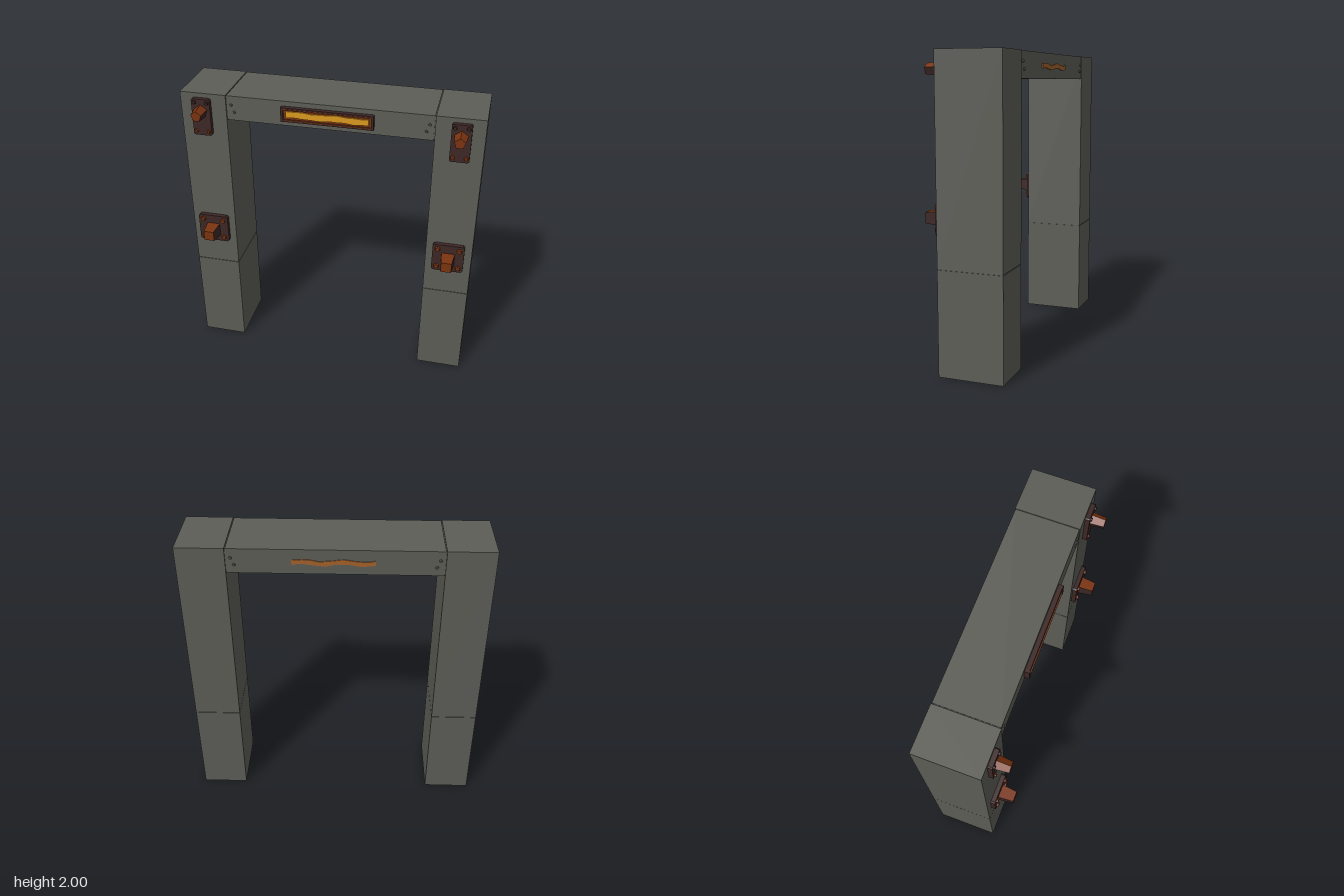
import * as THREE from 'three';

const mat = (name, color) => {
  const m = new THREE.MeshStandardMaterial({ color });
  m.name = name;
  return m;
};

export function createModel() {
  const root = new THREE.Group();
  root.name = 'gateway';
  const stone = mat('grey stone', 0x5c5d56);
  const iron = mat('dark iron', 0x3c2725);
  const rust = mat('rust', 0x7a330f);
  const yellow = mat('lamp yellow', 0xd9981e);
  const orange = mat('worn orange', 0xa0602a);

  const add = (parent, name, geo, material, x, y, z) => {
    const mesh = new THREE.Mesh(geo, material);
    mesh.name = name;
    mesh.position.set(x, y, z);
    parent.add(mesh);
    return mesh;
  };
  const box = (parent, name, w, h, d, material, x, y, z) =>
    add(parent, name, new THREE.BoxGeometry(w, h, d), material, x, y, z);

  // Faceted stud along +z, standing on z = 0
  const stud = (rBase, rTip, length, sides, start) => {
    const g = new THREE.CylinderGeometry(rTip, rBase, length, sides, 1, false, start);
    g.rotateX(Math.PI / 2).translate(0, 0, length / 2);
    const flat = g.toNonIndexed();
    flat.computeVertexNormals();
    return flat;
  };

  // Peg with dark flanks; the tip and the chosen upper faces are rust
  const peg = (rBase, rTip, length, sides, start, upper) => {
    const g = stud(rBase, rTip, length, sides, start);
    g.clearGroups();
    for (let i = 0; i < sides; i++) g.addGroup(i * 6, 6, upper.includes(i) ? 1 : 0);
    g.addGroup(sides * 6, sides * 6, 1);
    return g;
  };

  // Plate with chamfered corners
  const plate = (w, h, d, c) => {
    const x = w / 2, y = h / 2;
    const s = new THREE.Shape([
      [-x + c, -y], [x - c, -y], [x, -y + c], [x, y - c],
      [x - c, y], [-x + c, y], [-x, y - c], [-x, -y + c],
    ].map(([a, b]) => new THREE.Vector2(a, b)));
    return new THREE.ExtrudeGeometry(s, { depth: d, bevelEnabled: false });
  };

  // Wavy painted strip
  const strip = (length, height, wave, depth) => {
    const n = 16, top = [], bottom = [];
    for (let i = 0; i <= n; i++) {
      const x = (i / n - 0.5) * length;
      const mid = wave * Math.sin(i * 0.8);
      const half = (height / 2) * (0.92 + 0.08 * Math.cos(i * 1.9));
      bottom.push(new THREE.Vector2(x, mid - half));
      top.unshift(new THREE.Vector2(x, mid + half));
    }
    return new THREE.ExtrudeGeometry(new THREE.Shape([...bottom, ...top]), { depth, bevelEnabled: false });
  };

  const front = 0.15;
  for (const side of [-1, 1]) {
    const label = side > 0 ? 'left' : 'right';
    const post = new THREE.Group();
    post.name = label + 'Post';
    root.add(post);

    // Two stacked blocks with a fine seam between them
    const px = side * 0.837;
    box(post, 'lowerBlock', 0.312, 0.681, 0.43, stone, px, 0.3405, -0.065);
    box(post, 'seam', 0.304, 0.01, 0.422, stone, px, 0.683, -0.065);
    box(post, 'upperBlock', 0.312, 1.315, 0.43, stone, px, 1.3425, -0.065);

    // Upper bracket with five-sided peg
    const upper = new THREE.Group();
    upper.name = 'upperBracket';
    upper.position.set(side * 0.846, 1.842, front);
    post.add(upper);
    add(upper, 'upperPlate', plate(0.126, 0.255, 0.03, 0.008), iron, 0, 0, 0);
    add(upper, 'upperPeg', peg(0.046, 0.037, 0.09, 5, Math.PI, [0, 4]), [iron, rust], 0, 0.043, 0.03);
    for (const x of [-0.042, 0.042]) for (const y of [-0.098, 0.104])
      add(upper, 'rivet', stud(0.015, 0.011, 0.012, 6, 0), y < 0 ? rust : iron, x, y, 0.03);

    // Lower bracket with square peg
    const lower = new THREE.Group();
    lower.name = 'lowerBracket';
    lower.position.set(side * 0.836, 0.98, front);
    post.add(lower);
    add(lower, 'lowerPlate', plate(0.214, 0.206, 0.03, 0.012), iron, 0, 0, 0);
    add(lower, 'lowerPeg', peg(0.064, 0.05, 0.103, 4, Math.PI / 4, [1]), [iron, rust], 0, -0.005, 0.03);
    for (const x of [-0.073, 0.073]) for (const y of [-0.068, 0.07])
      add(lower, 'rivet', stud(0.019, 0.015, 0.014, 6, 0), rust, x, y, 0.03);

    // Small stone bolts at the beam ends, front and back
    for (const [x, y] of [[0.647, 1.935], [0.627, 1.887]]) {
      add(root, 'beamBolt', stud(0.011, 0.007, 0.008, 6, 0), stone, side * x, y, 0.146);
      add(root, 'beamBolt', stud(0.011, 0.007, 0.01, 6, 0), stone, side * x, y, -0.276).rotation.y = Math.PI;
    }
  }

  // Cross beam, set back slightly from the posts
  box(root, 'beam', 1.352, 0.168, 0.422, stone, 0, 1.914, -0.065);
  box(root, 'beamCore', 1.37, 0.158, 0.41, stone, 0, 1.914, -0.065);

  // Lamp: frame, rust backing and yellow panel
  const lamp = new THREE.Group();
  lamp.name = 'lamp';
  lamp.position.set(-0.003, 1.917, 0.146);
  root.add(lamp);
  box(lamp, 'lampBacking', 0.58, 0.076, 0.018, rust, 0, 0, 0.009);
  for (const s of [-1, 1]) {
    box(lamp, 'frameRail', 0.602, 0.014, 0.03, iron, 0, s * 0.041, 0.015);
    box(lamp, 'railFace', 0.57, 0.006, 0.006, rust, 0, s * 0.036, 0.029);
    box(lamp, 'frameEnd', 0.016, 0.096, 0.033, iron, s * 0.294, 0, 0.0165);
  }
  add(lamp, 'lampPanel', strip(0.54, 0.046, 0.003, 0.008), yellow, 0, 0, 0.018);

  // Worn painted strip on the back
  const backStrip = add(root, 'backStrip', strip(0.52, 0.034, 0.007, 0.006), orange, 0.01, 1.91, -0.275);
  backStrip.rotation.y = Math.PI;

  return root;
}
